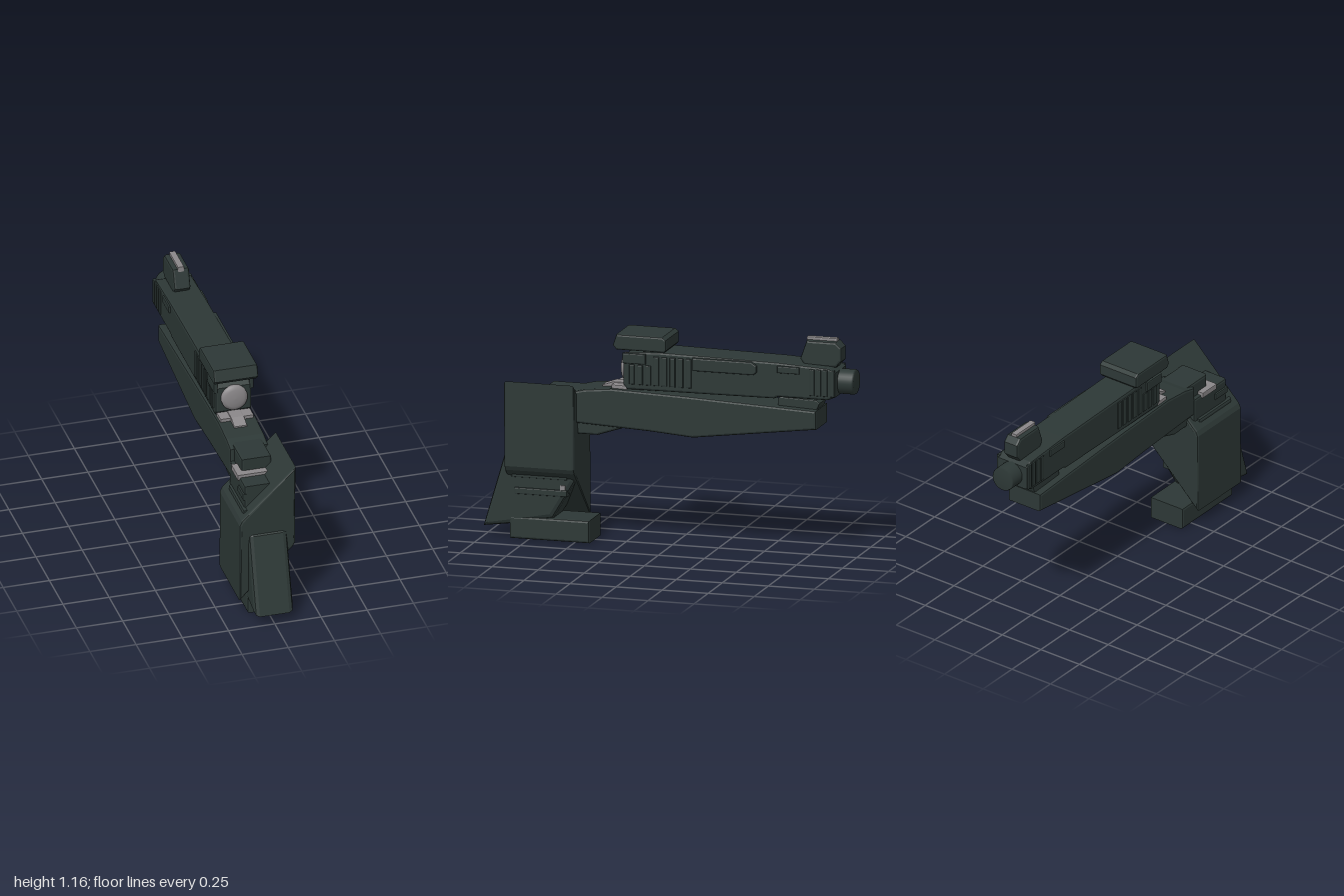
import * as THREE from 'three';

const dark = new THREE.MeshStandardMaterial({ color: 0x2d3836 });
dark.name = 'dark green grey';
const grey = new THREE.MeshStandardMaterial({ color: 0x8b888a });
grey.name = 'bare metal grey';

function shapeOf(points) {
  return new THREE.Shape(points.map(([a, b]) => new THREE.Vector2(a, b)));
}

// Bevelled extrusion whose outer size matches the outline and depth
function bevelled(points, depth, bevel) {
  const geometry = new THREE.ExtrudeGeometry(shapeOf(points), {
    depth: depth - 2 * bevel, bevelEnabled: bevel > 0, bevelSize: bevel,
    bevelThickness: bevel, bevelOffset: -bevel, bevelSegments: 2,
  });
  return geometry.translate(0, 0, bevel - depth / 2);
}

export function createModel() {
  const model = new THREE.Group();
  model.name = 'sidearm';

  function add(name, geometry, material = dark, parent = model) {
    const mesh = new THREE.Mesh(geometry, material);
    mesh.name = name;
    parent.add(mesh);
    return mesh;
  }

  // Side outline given as [z, y], spanning x0..x1
  function side(name, points, x0, x1, bevel = 0.01, material = dark, parent = model) {
    const geometry = bevelled(points, x1 - x0, bevel);
    geometry.rotateY(-Math.PI / 2).translate((x0 + x1) / 2, 0, 0);
    return add(name, geometry, material, parent);
  }

  // Bevelled block from its limits
  function block(name, x0, x1, y0, y1, z0, z1, bevel = 0.008, material = dark, parent = model) {
    return side(name, [[z0, y0], [z1, y0], [z1, y1], [z0, y1]], x0, x1, bevel, material, parent);
  }

  // Slide and barrel
  side('slide', [[-0.915, 0.87], [-0.87, 0.85], [-0.6, 0.85], [-0.58, 0.84], [0.22, 0.835],
    [0.24, 0.86], [0.24, 1.0], [0.21, 1.035], [0.05, 1.045], [-0.6, 1.035], [-0.88, 1.02], [-0.915, 1.0]],
  -0.098, 0.098, 0.012);

  const barrelProfile = [[0, 0], [0.062, 0], [0.066, 0.01], [0.066, 0.09], [0.066, 0.16], [0, 0.16]];
  const barrel = new THREE.LatheGeometry(barrelProfile.map(([r, h]) => new THREE.Vector2(r, h)), 32);
  add('barrel', barrel.rotateX(Math.PI / 2).translate(0, 0.937, -1));

  // Domed metal cap at the rear of the slide
  const capProfile = [[0.07, 0], [0.07, 0.022], [0.05, 0.029], [0.025, 0.033], [0, 0.034]];
  const cap = new THREE.LatheGeometry(capProfile.map(([r, h]) => new THREE.Vector2(r, h)), 32);
  add('rearCap', cap.rotateX(Math.PI / 2).translate(0, 0.94, 0.236), grey);

  // Raised serrations and panels on both sides of the slide
  for (const s of [-1, 1]) {
    const details = new THREE.Group();
    details.name = s > 0 ? 'leftSlideDetails' : 'rightSlideDetails';
    model.add(details);
    const plate = (name, y0, y1, z0, z1, out = 0.105) =>
      block(name, Math.min(s * 0.085, s * out), Math.max(s * 0.085, s * out), y0, y1, z0, z1, 0.006, dark, details);
    for (let i = 0; i < 8; i++) {
      const z = 0.205 - i * 0.044;
      plate('rearSerration', 0.865, i < 3 ? 0.97 : 1.02, z - 0.03, z);
    }
    for (let i = 0; i < 4; i++) {
      const z = -0.775 - i * 0.036;
      plate('frontSerration', 0.87, 1.012, z - 0.026, z);
    }
    plate('rearPanel', 0.975, 1.03, 0.115, 0.24, 0.108);
    plate('frontPanel', 0.98, 1.018, -0.72, -0.6, 0.108);
  }
  side('ejectionPanel', [[-0.14, 0.96], [-0.47, 0.96], [-0.49, 0.975], [-0.49, 1.01], [-0.46, 1.03], [-0.14, 1.03]],
    0.08, 0.112, 0.008);

  // Sights
  side('rearSight', [[0, 1.06], [0.01, 1.048], [0.27, 1.048], [0.29, 1.07], [0.27, 1.13], [0.02, 1.13], [0, 1.115]],
    -0.12, 0.12, 0.01);
  side('frontSight', [[-0.93, 1.05], [-0.9, 1.015], [-0.73, 1.015], [-0.705, 1.05], [-0.74, 1.15], [-0.9, 1.15], [-0.93, 1.12]],
    -0.045, 0.045, 0.012);
  block('frontSightInsert', -0.017, 0.017, 1.13, 1.165, -0.9, -0.735, 0.004, grey);

  // Frame under the slide
  side('frame', [[0.53, 0.64], [0.53, 0.8], [0.45, 0.82], [0.3, 0.835], [-0.1, 0.822], [-0.81, 0.79],
    [-0.81, 0.69], [-0.14, 0.602], [0.1, 0.62]], -0.104, 0.104, 0.012);
  side('accessoryRail', [[-0.59, 0.83], [-0.59, 0.795], [-0.8, 0.78], [-0.82, 0.825], [-0.8, 0.84], [-0.6, 0.846]],
    -0.065, 0.065, 0.006);
  side('triggerGuard', [[0.5, 0.66], [0.5, 0.575], [0.385, 0.575], [0.25, 0.62], [0.25, 0.66]], -0.08, 0.08, 0.012);

  // Metal linkage between frame and slide
  block('linkagePlate', -0.09, 0.09, 0.82, 0.852, 0.22, 0.305, 0.004, grey);
  side('linkageTongue', [[0.22, 0.82], [0.37, 0.82], [0.37, 0.836], [0.31, 0.857], [0.22, 0.857]], -0.035, 0.035, 0.004, grey);

  // Sheared grip shell, outline in [x, y]
  const shell = bevelled([[-0.152, 0.09], [0.14, 0.372], [0.152, 0.395], [0.152, 0.847], [-0.14, 0.565], [-0.152, 0.54]], 0.38, 0.012);
  add('gripShell', shell.translate(0, 0, 0.68));

  // Grip core with its sloping back
  side('gripCore', [[0.5, 0.5], [0.84, 0.5], [0.878, 0.47], [1, 0.055], [0.85, 0.075], [0.62, 0.12], [0.5, 0.32]],
    -0.105, 0.105, 0.025);

  // Steps emerging from the slanted top of the shell
  const steps = new THREE.Group();
  steps.name = 'gripSteps';
  model.add(steps);
  block('upperStep', -0.082, 0.082, 0.6, 0.812, 0.48, 0.665, 0.012, dark, steps);
  block('metalStep', -0.115, 0.06, 0.715, 0.746, 0.585, 0.705, 0.004, grey, steps);
  block('middleStep', -0.105, 0.05, 0.55, 0.73, 0.52, 0.8, 0.012, dark, steps);
  block('stepTab', -0.115, 0, 0.65, 0.685, 0.7, 0.8, 0.006, dark, steps);
  block('lowerStep', -0.12, -0.02, 0.5, 0.605, 0.55, 0.83, 0.012, dark, steps);

  // Side bars below the shell
  block('lowerBar', 0.06, 0.112, 0.24, 0.275, 0.54, 0.825, 0.006);
  block('upperBar', 0.06, 0.112, 0.33, 0.35, 0.54, 0.84, 0.004);
  block('barCatch', 0.08, 0.108, 0.27, 0.3, 0.55, 0.58, 0.003, grey);

  // Base block under the grip
  block('gripBase', -0.106, 0.106, 0, 0.12, 0.42, 0.855, 0.012);

  return model;
}
